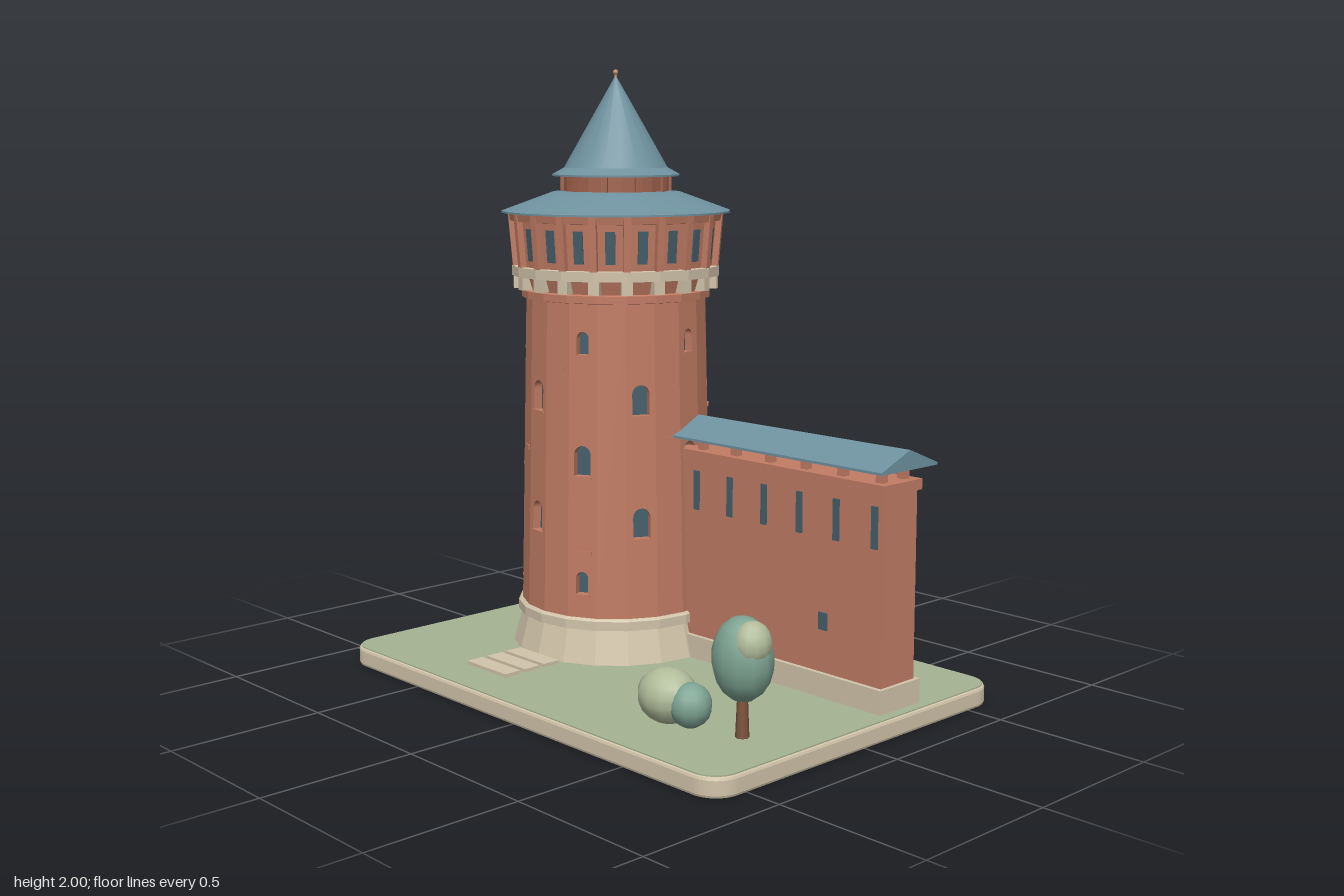
import * as THREE from 'three';
import { mergeGeometries } from 'three/addons/utils/BufferGeometryUtils.js';

const SIDES = 20, STEP = Math.PI * 2 / SIDES, APO = Math.cos(STEP / 2);

const mat = (name, color) => {
  const m = new THREE.MeshStandardMaterial({ color });
  m.name = name;
  return m;
};

export function createModel() {
  const M = {
    brick: mat('brick', 0xc17c64), darkBrick: mat('dark brick', 0xa3644f),
    stone: mat('stone', 0xd2c4aa), roof: mat('slate roof', 0x6f929f),
    glass: mat('dark glass', 0x465f6b), grass: mat('grass', 0xa5b493),
    leaf: mat('foliage', 0x7ea493), paleLeaf: mat('pale foliage', 0xb2bd9b),
    bark: mat('bark', 0x80553f), copper: mat('copper', 0xc09270),
  };
  const model = new THREE.Group();
  const group = (name, parent = model) => {
    const g = new THREE.Group();
    g.name = name;
    parent.add(g);
    return g;
  };
  const add = (parent, name, geo, material, x = 0, y = 0, z = 0) => {
    const m = new THREE.Mesh(geo, material);
    m.name = name;
    m.position.set(x, y, z);
    parent.add(m);
    return m;
  };
  const box = (w, h, d, x = 0, y = 0, z = 0) => new THREE.BoxGeometry(w, h, d).translate(x, y, z);
  const flat = (geo) => {
    const g = geo.toNonIndexed();
    g.computeVertexNormals();
    return g;
  };
  const lathe = (pts) => new THREE.LatheGeometry(pts.map(p => new THREE.Vector2(...p)), SIDES);
  // Copies of a piece around the tower axis
  const ring = (geo, n, offset = 0) => mergeGeometries(
    Array.from({ length: n }, (_, i) => geo.clone().rotateY(offset + i * Math.PI * 2 / n)));

  // Ground slab
  const roundedRect = (hx, hz, r) => {
    const s = new THREE.Shape();
    s.absarc(hx - r, hz - r, r, 0, Math.PI / 2);
    s.absarc(-hx + r, hz - r, r, Math.PI / 2, Math.PI);
    s.absarc(-hx + r, -hz + r, r, Math.PI, Math.PI * 1.5);
    s.absarc(hx - r, -hz + r, r, Math.PI * 1.5, Math.PI * 2);
    return s;
  };
  const ground = group('ground');
  add(ground, 'slab', new THREE.ExtrudeGeometry(roundedRect(0.875, 0.62, 0.08), {
    depth: 0.043, bevelSize: 0.01, bevelThickness: 0.01, bevelSegments: 2, curveSegments: 6,
  }).rotateX(-Math.PI / 2), M.stone, 0, 0.01, 0);
  add(ground, 'lawn', new THREE.ExtrudeGeometry(roundedRect(0.877, 0.622, 0.082), {
    depth: 0.004, bevelEnabled: false, curveSegments: 6,
  }).rotateX(-Math.PI / 2), M.grass, 0, 0.062, 0);
  [0.29, 0.37, 0.45].forEach(z =>
    add(ground, 'steppingSlab', box(0.2, 0.012, 0.062), M.stone, -0.315, 0.071, z));

  // Tower footing
  const tower = group('tower');
  tower.position.set(-0.325, 0, -0.1);
  add(tower, 'footing', flat(lathe([[0.357, 0.065], [0.327, 0.178], [0.34, 0.178], [0.34, 0.208],
    [0.332, 0.215], [0.3, 0.215]])), M.stone);

  // Shaft of tapering facets, arched openings cut through every other one
  const RB = 0.326, RT = 0.303, YB = 0.21, H = 1.05;
  const tilt = -Math.atan((RB - RT) * APO / H);
  const onFacet = (geo, i) => geo.rotateX(tilt).translate(0, YB, RB * APO).rotateY((i + 0.5) * STEP);
  const arch = (w, h, y) => {
    const p = new THREE.Path();
    p.moveTo(-w / 2, y - h / 2);
    p.lineTo(w / 2, y - h / 2);
    p.lineTo(w / 2, y + h / 2 - w / 2);
    p.absarc(0, y + h / 2 - w / 2, w / 2, 0, Math.PI);
    p.closePath();
    return p;
  };
  const rowsA = [[0.33, 0.042, 0.075], [0.735, 0.058, 0.1], [1.12, 0.042, 0.075]];
  const rowsB = [[0.53, 0.058, 0.1], [0.935, 0.058, 0.1]];
  const walls = [], panes = [], sills = [];
  for (let i = 0; i < SIDES; i++) {
    const b = RB * Math.sin(STEP / 2), t = RT * Math.sin(STEP / 2);
    const s = new THREE.Shape([[-b, 0], [b, 0], [t, H], [-t, H]].map(p => new THREE.Vector2(...p)));
    const rows = i % 4 === 1 ? rowsA : i % 4 === 3 ? rowsB : [];
    for (const [y, w, h] of rows) {
      s.holes.push(arch(w, h, y - YB));
      panes.push(onFacet(new THREE.PlaneGeometry(w + 0.01, h + 0.01).translate(0, y - YB, -0.029), i));
      sills.push(onFacet(box(w + 0.01, 0.008, 0.02, 0, y - YB - h / 2 - 0.004, -0.006), i));
    }
    walls.push(onFacet(new THREE.ExtrudeGeometry(s, { depth: 0.03, bevelEnabled: false, curveSegments: 8 })
      .translate(0, 0, -0.03), i));
  }
  add(tower, 'shaft', mergeGeometries(walls), M.brick);
  add(tower, 'shaftWindows', mergeGeometries(panes), M.glass);
  add(tower, 'windowSills', mergeGeometries(sills), M.brick);

  // A few proud bricks scattered on the shaft
  const bricks = [[0, 1.03], [1, 0.43], [2, 0.83], [4, 0.8], [6, 0.6], [8, 1.0], [10, 0.45], [12, 0.9],
    [14, 0.65], [16, 0.4], [18, 0.75]].map(([i, y]) =>
    onFacet(box(0.042, 0.014, 0.008, 0.012, y - YB, 0), i));
  add(tower, 'proudBricks', mergeGeometries(bricks), M.brick);

  // Corbelled neck and stone ring
  add(tower, 'neck', flat(lathe([[0.29, 1.245], [0.318, 1.25], [0.318, 1.274], [0.31, 1.278],
    [0.325, 1.325]])), M.brick);
  add(tower, 'corbels', ring(box(0.036, 0.045, 0.045, 0, 1.302, 0.322), SIDES), M.stone);
  add(tower, 'stoneRing', flat(lathe([[0.3, 1.322], [0.35, 1.322], [0.35, 1.354], [0.32, 1.356]])), M.stone);

  // Gallery with leaning pilasters
  add(tower, 'gallery', flat(lathe([[0.328, 1.35], [0.345, 1.54]])), M.brick);
  const lean = g => g.rotateX(0.085);
  add(tower, 'galleryPilasters', ring(lean(box(0.024, 0.18, 0.026)).translate(0, 1.445, 0.342), SIDES), M.brick);
  add(tower, 'galleryWindows',
    ring(lean(box(0.032, 0.105, 0.008)).translate(0, 1.43, 0.336 * APO), SIDES, STEP / 2), M.glass);
  add(tower, 'galleryCornice', flat(lathe([[0.33, 1.502], [0.357, 1.505], [0.362, 1.53]])), M.brick);

  // Skirt roof, lantern drum and spire
  add(tower, 'skirtRoof', mergeGeometries([
    lathe([[0.2, 1.532], [0.385, 1.53]]), lathe([[0.385, 1.53], [0.385, 1.536]]),
    lathe([[0.385, 1.536], [0.215, 1.598], [0.16, 1.602]])]), M.roof);
  add(tower, 'lantern', flat(lathe([[0.177, 1.59], [0.177, 1.66]])), M.darkBrick);
  add(tower, 'lanternPilasters', ring(box(0.022, 0.06, 0.016, 0, 1.627, 0.178), 10), M.darkBrick);
  add(tower, 'spire', mergeGeometries([
    lathe([[0.1, 1.652], [0.214, 1.65]]), lathe([[0.214, 1.65], [0.214, 1.656]]),
    lathe([[0.214, 1.656], [0.174, 1.678]]), lathe([[0.174, 1.678], [0.004, 1.975]])]), M.roof);
  add(tower, 'finialRod', new THREE.CylinderGeometry(0.004, 0.006, 0.04, 8), M.copper, 0, 1.97, 0);
  add(tower, 'finialBall', new THREE.SphereGeometry(0.009, 10, 8), M.copper, 0, 1.991, 0);

  // Curtain wall running from the tower
  const wall = group('curtainWall');
  wall.position.z = -0.2;
  const run = (name, material, x1, y0, y1, depth) =>
    add(wall, name, box(x1 + 0.1, y1 - y0, depth), material, (x1 - 0.1) / 2, (y0 + y1) / 2, 0);
  run('wallPlinth', M.stone, 0.845, 0.06, 0.142, 0.186);
  run('wallBody', M.brick, 0.832, 0.14, 0.735, 0.156);
  run('wallCornice', M.brick, 0.842, 0.732, 0.765, 0.178);
  for (let i = 0; i < 6; i++) {
    const x = 0.045 + i * 0.151;
    add(wall, 'arrowSlit', box(0.024, 0.13, 0.008), M.glass, x, 0.632, 0.079);
    for (const z of [-0.05, 0.05]) add(wall, 'roofPost', box(0.026, 0.05, 0.026), M.brick, x, 0.785, z);
  }
  add(wall, 'smallWindow', box(0.034, 0.055, 0.009), M.glass, 0.602, 0.305, 0.079);

  // Gabled roof of the wall
  const gable = new THREE.Shape([[-0.13, 0.805], [0.13, 0.805], [0.13, 0.813], [0, 0.866], [-0.13, 0.813]]
    .map(p => new THREE.Vector2(...p)));
  add(wall, 'wallRoof', new THREE.ExtrudeGeometry(gable, { depth: 0.925, bevelEnabled: false })
    .rotateY(Math.PI / 2), M.roof, -0.06, 0, 0);

  // Tree and bushes
  const garden = group('garden');
  const blob = (name, material, x, y, z, rx, ry, rz) =>
    add(garden, name, new THREE.SphereGeometry(1, 12, 9).scale(rx, ry, rz), material, x, y, z);
  add(garden, 'treeTrunk', new THREE.CylinderGeometry(0.014, 0.021, 0.17, 8), M.bark, 0.69, 0.145, 0.325);
  blob('treeCrown', M.leaf, 0.69, 0.3, 0.325, 0.098, 0.127, 0.087);
  blob('treeCrownTuft', M.paleLeaf, 0.735, 0.355, 0.332, 0.055, 0.067, 0.06);
  blob('paleBush', M.paleLeaf, 0.435, 0.143, 0.38, 0.1, 0.085, 0.086);
  blob('smallBush', M.leaf, 0.525, 0.132, 0.373, 0.064, 0.068, 0.066);
  blob('cornerBush', M.leaf, -0.75, 0.148, -0.288, 0.083, 0.088, 0.083);
  return model;
}
